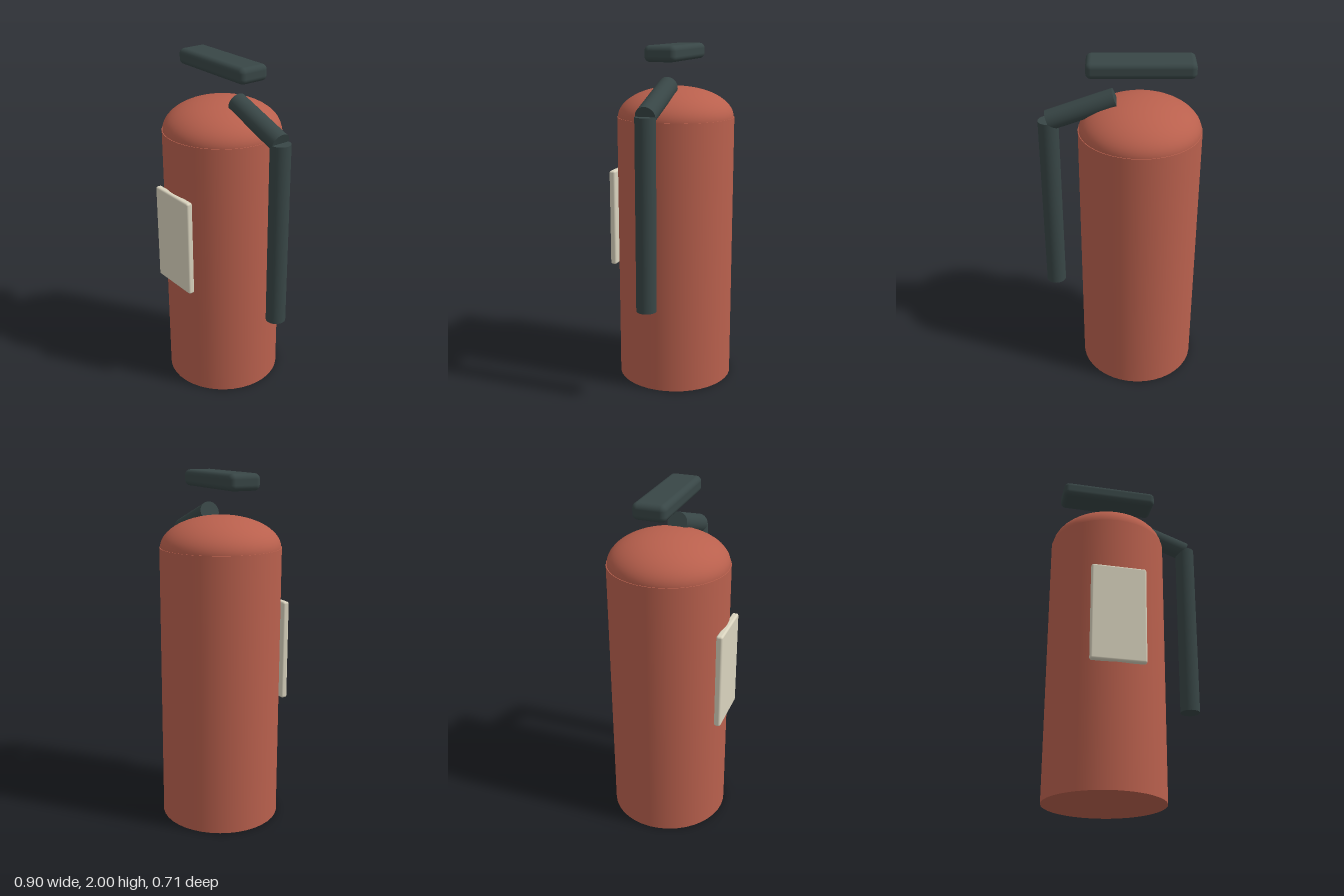
import * as THREE from 'three';
import { RoundedBoxGeometry } from 'three/addons/geometries/RoundedBoxGeometry.js';

const CX = -0.11, CZ = -0.012; // cylinder axis

function material(name, color) {
  const m = new THREE.MeshStandardMaterial({ color });
  m.name = name;
  return m;
}

export function createModel() {
  const red = material('red paint', 0xb9604d);
  const dark = material('dark rubber', 0x384646);
  const cream = material('cream label', 0xd9d3be);
  const group = new THREE.Group();
  group.name = 'fireExtinguisher';

  function add(name, geometry, mat, x, y, z) {
    const mesh = new THREE.Mesh(geometry, mat);
    mesh.name = name;
    mesh.position.set(x, y, z);
    group.add(mesh);
    return mesh;
  }

  // Straight capped pipe between two points in the plane of the hose
  function pipe(name, x0, y0, x1, y1) {
    const a = new THREE.Vector3(x0, y0, CZ), b = new THREE.Vector3(x1, y1, CZ);
    const dir = b.clone().sub(a);
    const mid = a.clone().add(b).multiplyScalar(0.5);
    const mesh = add(name, new THREE.CylinderGeometry(0.057, 0.057, dir.length(), 32), dark, mid.x, mid.y, mid.z);
    mesh.quaternion.setFromUnitVectors(new THREE.Vector3(0, 1, 0), dir.normalize());
  }

  // Tank with a flattened dome on top
  add('tank', new THREE.CylinderGeometry(0.342, 0.342, 1.587, 40), red, CX, 0.7935, CZ);
  const dome = new THREE.SphereGeometry(0.338, 40, 16, 0, Math.PI * 2, 0, Math.PI / 2);
  dome.scale(1, 0.178 / 0.338, 1);
  add('dome', dome, red, CX, 1.585, CZ);

  // Lever floating above the dome
  add('handle', new RoundedBoxGeometry(0.58, 0.09, 0.183, 4, 0.03), dark, CX, 1.955, CZ);

  // Hose: sloping neck, then a straight drop
  pipe('hoseNeck', 0.026, 1.771, 0.391, 1.641);
  pipe('hose', 0.392, 1.64, 0.392, 0.56);

  // Front label plate
  add('label', new RoundedBoxGeometry(0.315, 0.577, 0.038, 3, 0.012), cream, CX, 0.98, 0.332);

  return group;
}
